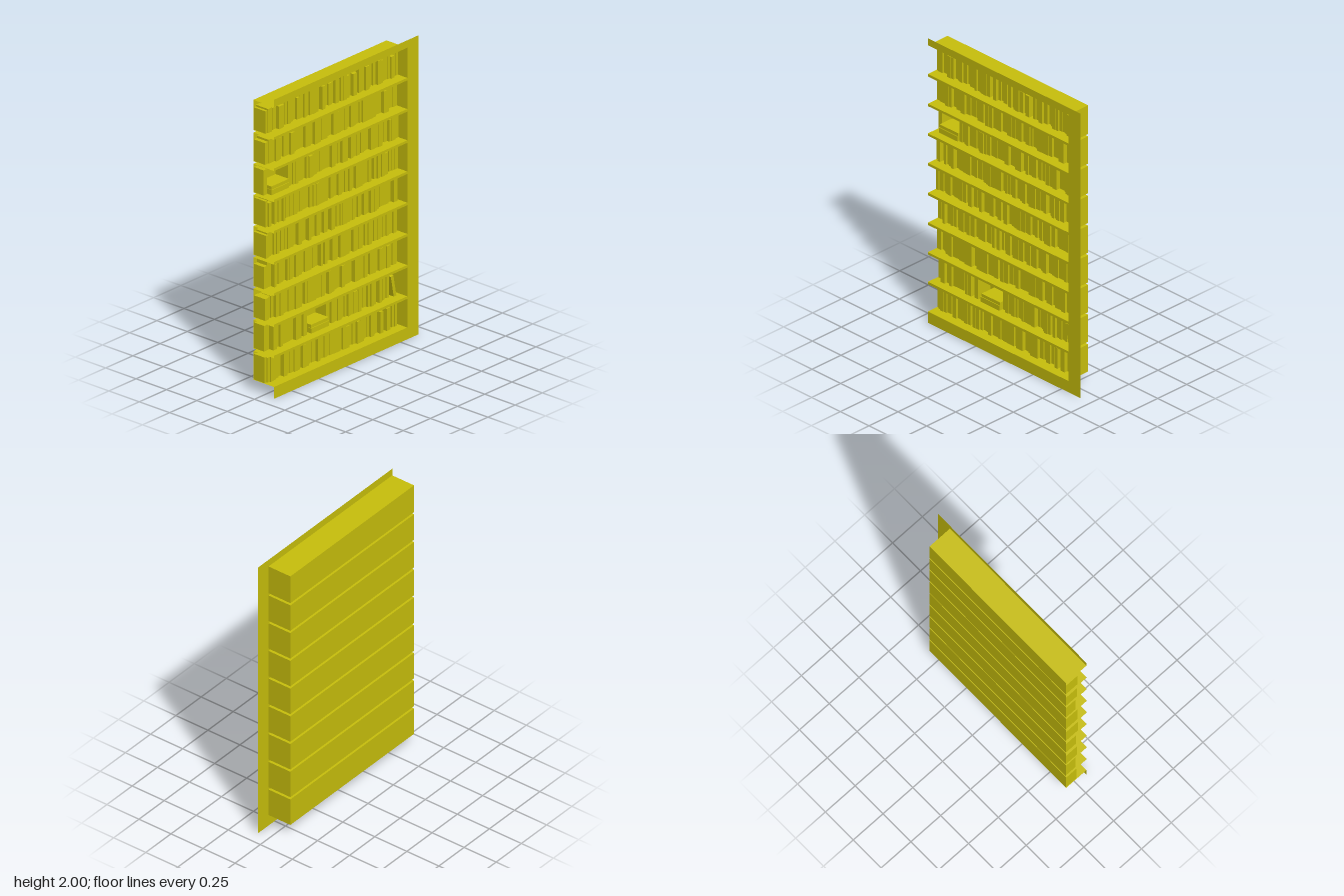
import * as THREE from 'three';
import { mergeGeometries } from 'three/addons/utils/BufferGeometryUtils.js';

const LEFT = -0.665, RIGHT = 0.56, EDGE = 0.665; // bay ends and outer frame edge
const BACK = -0.085, FRONT = 0.085;
const ROWS = 9, PITCH = 0.2087;

export function createModel() {
  const model = new THREE.Group();
  model.name = 'bookcase';
  const mat = new THREE.MeshStandardMaterial({ color: 0xc9c00c, side: THREE.DoubleSide });

  let seed = 7;
  const rand = (a, b) => {
    seed = (seed * 16807) % 2147483647;
    return a + (b - a) * (seed / 2147483647);
  };

  const add = (parent, name, geometry) => {
    const mesh = new THREE.Mesh(geometry, mat);
    mesh.name = name;
    parent.add(mesh);
    return mesh;
  };

  // Thin upright panel facing +z
  const panel = (x0, x1, y0, y1, z) =>
    new THREE.PlaneGeometry(x1 - x0, y1 - y0).translate((x0 + x1) / 2, (y0 + y1) / 2, z);

  // Thin level board, full depth
  const board = (y) =>
    new THREE.PlaneGeometry(RIGHT - LEFT, FRONT - BACK).rotateX(-Math.PI / 2).translate((LEFT + RIGHT) / 2, y, 0);

  // Box given by its limits, standing against the back panel
  const block = (x0, x1, y0, y1, front) =>
    new THREE.BoxGeometry(x1 - x0, y1 - y0, front - BACK - 0.001)
      .translate((x0 + x1) / 2, (y0 + y1) / 2, (front + BACK + 0.001) / 2);

  // Upright books side by side between x0 and x1
  const uprightBooks = (x0, x1, y) => {
    const books = [];
    let x = x0;
    while (x < x1 - 0.004) {
      let w = rand(0.018, 0.036);
      if (x1 - x - w < 0.016) w = x1 - x;
      books.push(block(x, x + w, y, y + rand(0.143, 0.174), rand(-0.005, 0.03)));
      x += w;
    }
    return books;
  };

  // Two books lying flat
  const flatStack = (x0, x1, y) => [
    block(x0 - 0.003, x1, y, y + 0.034, 0.03),
    block(x0, x1 + 0.002, y + 0.034, y + 0.056, 0.025),
  ];

  // Book tilted against its neighbours
  const leaningBook = (x, y) =>
    new THREE.BoxGeometry(0.024, 0.146, 0.11).translate(-0.012, 0.073, BACK + 0.056)
      .rotateZ(0.19).translate(x, y, 0);

  const floorY = (i) => 0.079 + i * PITCH;
  const ceilingY = (i) => (i === ROWS - 1 ? 1.95 : floorY(i + 1) - 0.017);

  // Front frame: side stile, plinth, header and shelf edges
  const frame = new THREE.Group();
  frame.name = 'frontFrame';
  model.add(frame);
  add(frame, 'sideStile', panel(RIGHT, EDGE, 0, 2, FRONT));
  add(frame, 'plinth', panel(LEFT, RIGHT, 0, floorY(0), FRONT));
  add(frame, 'header', panel(LEFT, RIGHT, 1.95, 2, FRONT));
  for (let i = 1; i < ROWS; i++) {
    add(frame, 'shelfEdge', panel(LEFT, RIGHT, ceilingY(i - 1), floorY(i), FRONT));
  }

  // Bays, open at the front and at the -x end
  for (let i = 0; i < ROWS; i++) {
    const y0 = floorY(i), y1 = ceilingY(i);
    const bay = new THREE.Group();
    bay.name = 'bay' + (i + 1);
    model.add(bay);
    add(bay, 'shelfFloor', board(y0));
    add(bay, 'shelfCeiling', board(y1));
    add(bay, 'backPanel', panel(LEFT, RIGHT, y0, y1, BACK));
    add(bay, 'endWall', new THREE.PlaneGeometry(FRONT - BACK, y1 - y0)
      .rotateY(Math.PI / 2).translate(RIGHT, (y0 + y1) / 2, 0));

    // Books, with flat stacks on two shelves and one leaning book
    let books;
    const y = y0 + 0.001;
    if (i === 1) {
      books = [
        ...uprightBooks(-0.66, -0.29, y),
        ...flatStack(-0.257, -0.098, y),
        ...uprightBooks(-0.095, 0.475, y),
        leaningBook(0.526, y),
      ];
    } else if (i === 6) {
      books = [
        ...uprightBooks(-0.662, -0.632, y),
        ...flatStack(-0.622, -0.464, y),
        ...uprightBooks(-0.46, 0.558, y),
      ];
    } else {
      books = uprightBooks(-0.662, 0.558, y);
    }
    add(bay, 'books', mergeGeometries(books));
  }
  return model;
}
